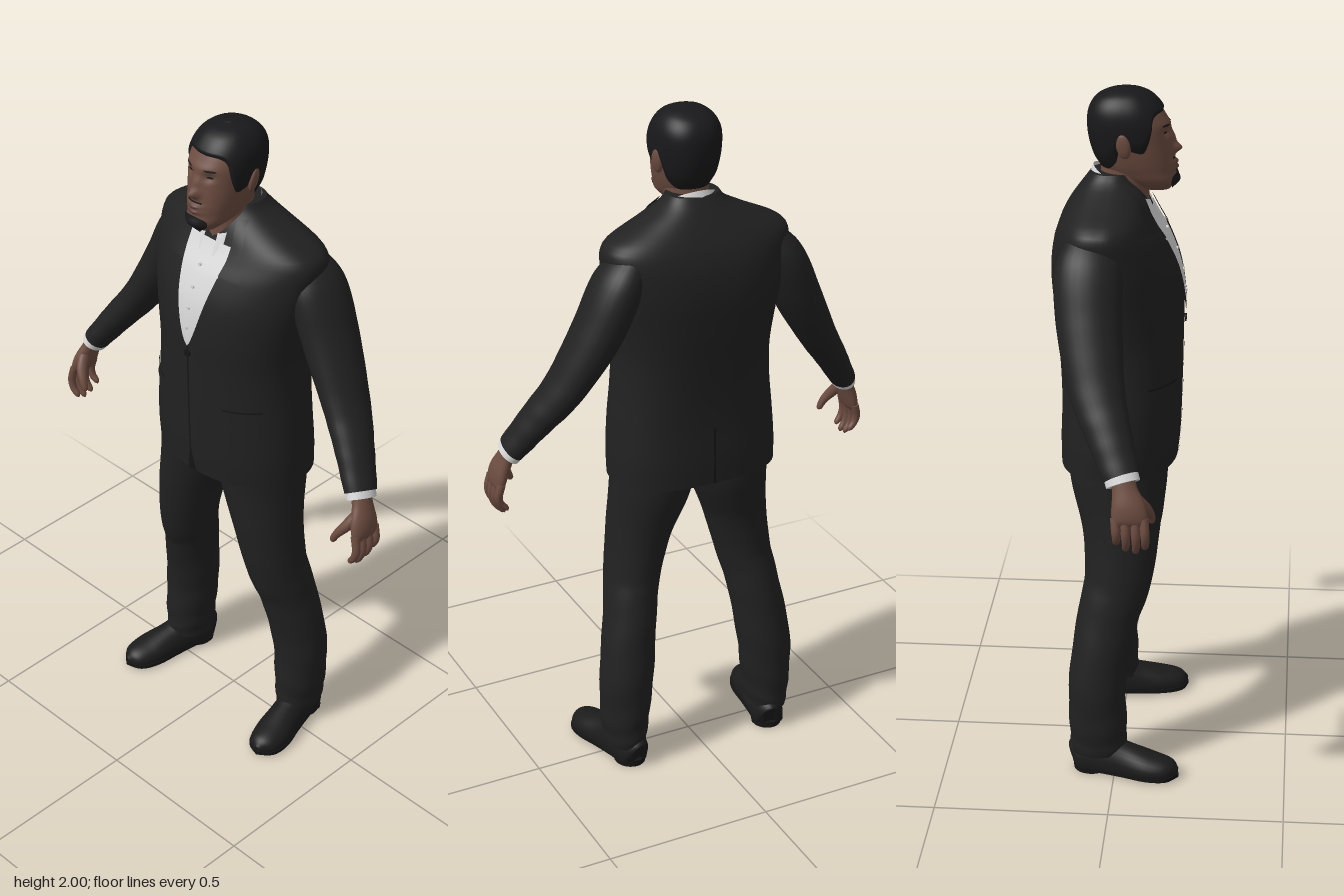
import * as THREE from 'three';

const mat = (name, color) => new THREE.MeshStandardMaterial({ name, color, side: THREE.DoubleSide });
const TAU = Math.PI * 2;
const gauss = (d, w) => Math.exp(-((d / w) ** 2));
const clamp = THREE.MathUtils.clamp;

// Smooth interpolation of table rows keyed on their first column
function key(rows, t) {
  const n = rows.length - 1;
  t = clamp(t, rows[0][0], rows[n][0]);
  let i = 0;
  while (i < n - 1 && t > rows[i + 1][0]) i++;
  const a = rows[i], b = rows[i + 1], p = rows[Math.max(i - 1, 0)], q = rows[Math.min(i + 2, n)];
  const h = b[0] - a[0], s = (t - a[0]) / h, s2 = s * s, s3 = s2 * s;
  return a.slice(1).map((av, j) => {
    const k = j + 1, ma = (b[k] - p[k]) / (b[0] - p[0]), mb = (q[k] - a[k]) / (q[0] - a[0]);
    return av * (2 * s3 - 3 * s2 + 1) + b[k] * (3 * s2 - 2 * s3) + h * (ma * (s3 - 2 * s2 + s) + mb * (s3 - s2));
  });
}

// Grid surface from f(u, v); closed surfaces wrap in u and get end caps
function surf(name, material, nu, nv, f, closed = false) {
  const pos = [], idx = [], cols = closed ? nu : nu + 1;
  for (let j = 0; j <= nv; j++) for (let i = 0; i < cols; i++) pos.push(...f(i / nu, j / nv));
  for (let j = 0; j < nv; j++) for (let i = 0; i < nu; i++) {
    const a = j * cols + i, b = j * cols + (i + 1) % cols;
    idx.push(a, b, b + cols, a, b + cols, a + cols);
  }
  if (closed) for (const v of [0, 1]) {
    const base = pos.length / 3, c = [0, 0, 0];
    for (let i = 0; i < nu; i++) {
      const p = f(i / nu, v);
      pos.push(...p);
      p.forEach((x, k) => { c[k] += x / nu; });
    }
    pos.push(...c);
    for (let i = 0; i < nu; i++) {
      const a = base + i, b = base + (i + 1) % nu;
      idx.push(...(v ? [a, b, base + nu] : [b, a, base + nu]));
    }
  }
  const g = new THREE.BufferGeometry();
  g.setAttribute('position', new THREE.Float32BufferAttribute(pos, 3));
  g.setIndex(idx);
  g.computeVertexNormals();
  const m = new THREE.Mesh(g, material);
  m.name = name;
  return m;
}

// Limb along rows [x, y, z, radiusA, radiusB]; radiusB lies along the "up" axis
function limb(name, material, rows, { up = [0, 0, 1], nu = 28, nv = 40, floor = -1, folds = 0 } = {}) {
  const keyed = rows.map((r, i) => [i / (rows.length - 1), ...r]);
  const at = t => new THREE.Vector3(...key(keyed, t).slice(0, 3));
  return surf(name, material, nu, nv, (u, v) => {
    const [x, y, z, ra, rb] = key(keyed, v), th = u * TAU;
    const T = at(Math.min(v + 0.01, 1)).sub(at(Math.max(v - 0.01, 0))).normalize();
    const B = new THREE.Vector3(...up);
    B.addScaledVector(T, -B.dot(T)).normalize();
    const A = T.clone().cross(B);
    const k = 1 + folds * v * v * Math.sin(v * 55 + 2 * Math.sin(th));
    const p = new THREE.Vector3(x, y, z).addScaledVector(A, ra * k * Math.sin(th)).addScaledVector(B, rb * k * Math.cos(th));
    return [p.x, Math.max(p.y, floor), p.z];
  }, true);
}

// Jacket body: y, half width, front z, back z
const TORSO = [[0.925, 0.25, 0.165, -0.167], [1, 0.25, 0.172, -0.168], [1.1, 0.243, 0.175, -0.165], [1.2, 0.232, 0.177, -0.168],
  [1.3, 0.228, 0.178, -0.176], [1.4, 0.24, 0.178, -0.186], [1.5, 0.26, 0.163, -0.192], [1.58, 0.273, 0.132, -0.184],
  [1.63, 0.278, 0.102, -0.168], [1.66, 0.258, 0.086, -0.152], [1.7, 0.172, 0.07, -0.127], [1.74, 0.095, 0.05, -0.1], [1.765, 0.075, 0.04, -0.082]];
// Head: y, half width, front z, back z
const HEAD = [[1.715, 0.03, 0.135, 0.06], [1.74, 0.055, 0.152, 0], [1.77, 0.067, 0.15, -0.045], [1.8, 0.075, 0.147, -0.063],
  [1.85, 0.083, 0.14, -0.08], [1.9, 0.087, 0.132, -0.086], [1.94, 0.082, 0.112, -0.08], [1.97, 0.064, 0.086, -0.058],
  [1.985, 0.04, 0.058, -0.026], [1.993, 0.004, 0.02, 0.01]];
const HAIRLINE = [[0, 1.935], [0.6, 1.933], [0.9, 1.915], [1.1, 1.865], [1.3, 1.832], [1.55, 1.835], [1.75, 1.85], [2, 1.805], [2.4, 1.78], [Math.PI, 1.77]];

const sup = (c, n) => Math.sign(c) * Math.abs(c) ** (2 / n);
function torsoPoint(th, y) {
  const [rx, zf, zb] = key(TORSO, y), s = Math.sin(th), c = Math.cos(th), n = c > 0 ? 2.05 : 2.7;
  const zc = (zf + zb) / 2;
  return [rx * sup(s, n), y, zc + (zf - zc) * sup(c, n)];
}
function headPoint(th, y, off = 0) {
  const [rx, zf, zb] = key(HEAD, y), s = Math.sin(th), c = Math.cos(th), zc = (zf + zb) / 2;
  const x = (rx + off) * sup(s, 2.25);
  let z = zc + (zf - zc + off) * sup(c, 2.25);
  if (c > 0) { // nose, brow, eye sockets and lips
    const e = Math.abs(x);
    z += 0.023 * gauss(x, 0.015) * (gauss(y - 1.83, 0.014) + 0.5 * gauss(y - 1.858, 0.024))
      + 0.004 * gauss(y - 1.902, 0.012) * gauss(x, 0.06) - 0.009 * gauss(e - 0.034, 0.016) * gauss(y - 1.88, 0.012)
      + 0.009 * gauss(x, 0.026) * (gauss(y - 1.793, 0.007) + gauss(y - 1.778, 0.007)) + 0.006 * gauss(x, 0.03) * gauss(y - 1.74, 0.015);
  }
  return [x, y, z];
}

export function createModel() {
  const suit = mat('suit cloth', 0x212122), seam = mat('dark seam', 0x151516), leather = mat('shoe leather', 0x1b1b1b);
  const shirt = mat('shirt white', 0xd6d6d6), skin = mat('skin', 0x6c4c40), lip = mat('lips', 0x5e3d37), hair = mat('hair', 0x19191b);
  const model = new THREE.Group();
  model.name = 'suitedMan';

  // Thin plate following the jacket front (side 1) or back (side -1)
  const plate = (name, m, y0, y1, xl, xr, off, side = 1) => surf(name, m, 8, 24, (u, v) => {
    const y = y0 + (y1 - y0) * v, [rx, zf, zb] = key(TORSO, y), x = xl(y) + (xr(y) - xl(y)) * (side > 0 ? u : 1 - u);
    const n = side > 0 ? 2.05 : 2.7, zc = (zf + zb) / 2;
    const k = (1 - Math.min(Math.abs(x / rx), 0.98) ** n) ** (1 / n);
    return [x, y, zc + side * ((zf - zb) / 2 * k + off)];
  });
  const opening = y => 0.076 * clamp((y - 1.36) / 0.27, 0, 1) ** 0.65;

  // Jacket, shirt front and closures
  model.add(surf('jacketBody', suit, 72, 70, (u, v) => torsoPoint(u * TAU, 0.925 + 0.84 * v), true));
  model.add(plate('shirtFront', shirt, 1.36, 1.665, y => -opening(y), opening, 0.004));
  model.add(plate('shirtPlacket', shirt, 1.385, 1.65, () => -0.011, () => 0.011, 0.007));
  model.add(plate('jacketFrontEdge', seam, 0.926, 1.36, y => -0.003 - 0.012 * clamp((1 - y) / 0.07, 0, 1), y => 0.003 + 0.012 * clamp((1 - y) / 0.07, 0, 1), 0.002));
  model.add(plate('backVent', seam, 0.926, 1.1, () => -0.003, () => 0.003, 0.002, -1));
  model.add(plate('backSeam', suit, 1.1, 1.68, () => -0.002, () => 0.002, 0.002, -1));
  const button = (name, m, y, r, off) => {
    const b = new THREE.Mesh(new THREE.CylinderGeometry(r, r, 0.006, 14), m);
    b.rotation.x = Math.PI / 2;
    b.position.set(0, y, key(TORSO, y)[1] + off);
    b.name = name;
    model.add(b);
  };
  button('jacketButton', seam, 1.335, 0.011, 0.004);
  for (const y of [1.42, 1.48, 1.54, 1.6]) button('shirtButton', shirt, y, 0.005, 0.008);

  // Shirt collar, open at the throat
  model.add(surf('shirtCollar', shirt, 48, 6, (u, v) => {
    const th = 0.28 + u * (TAU - 0.56), c = Math.cos(th), tip = Math.max(c, 0) ** 3;
    const w = 1 - v, y = 1.733 - 0.048 * c - w * (0.038 + 0.026 * tip);
    return [(0.076 + 0.012 * w) * Math.sin(th), y, 0.004 + c * (0.081 + 0.014 * w + 0.016 * w * tip)];
  }));

  // Neck and head
  model.add(limb('neck', skin, [[0, 1.82, 0.02, 0.062, 0.07], [0, 1.74, 0.01, 0.063, 0.069], [0, 1.68, 0.006, 0.067, 0.074], [0, 1.64, 0.008, 0.07, 0.08]]));
  const rise = (lo, v) => lo + (1.993 - lo) * Math.sin(v * Math.PI / 2);
  model.add(surf('head', skin, 96, 80, (u, v) => headPoint(u * TAU, rise(1.715, v)), true));
  model.add(surf('hair', hair, 96, 36, (u, v) => {
    const a = u < 0.5 ? u * TAU : (1 - u) * TAU, off = 0.008 * Math.min(1, v * 10);
    const p = headPoint(u * TAU, rise(key(HAIRLINE, a)[0], v), off);
    return [p[0], p[1] + off * v * 0.85, p[2]];
  }, true));
  const facePatch = (name, m, t0, t1, y0, y1, off, round = false) => surf(name, m, 20, 10, (u, v) => {
    const th = t0 + (t1 - t0) * u, k = round ? Math.sqrt(Math.max(0, 1 - (2 * u - 1) ** 2)) : 1;
    return headPoint(th, (y0 + y1) / 2 + (y1 - y0) * (v - 0.5) * k, off);
  });
  model.add(facePatch('goatee', hair, -0.7, 0.7, 1.716, 1.766, 0.006, true));
  model.add(facePatch('moustache', hair, -0.28, 0.28, 1.803, 1.808, 0.002));
  model.add(facePatch('upperLip', lip, -0.24, 0.24, 1.787, 1.798, 0.0015, true));
  model.add(facePatch('lowerLip', lip, -0.22, 0.22, 1.773, 1.785, 0.0015, true));

  for (const s of [1, -1]) {
    const side = new THREE.Group();
    side.name = s > 0 ? 'leftSide' : 'rightSide';
    side.scale.x = s;
    model.add(side);

    // Brow, eye and ear
    side.add(facePatch('eyebrow', hair, 0.2, 0.62, 1.898, 1.904, 0.002, true));
    side.add(facePatch('eye', seam, 0.26, 0.5, 1.877, 1.883, 0.0015, true));
    const ear = new THREE.Mesh(new THREE.SphereGeometry(1, 18, 14), skin);
    ear.name = 'ear';
    ear.scale.set(0.01, 0.036, 0.021);
    ear.position.set(0.088, 1.852, 0.012);
    ear.rotation.set(-0.15, 0.3, -0.1);
    side.add(ear);

    // Lapel with notch, and pockets
    side.add(plate('lapel', suit, 1.36, 1.585, opening, y => opening(y) + 0.085 * ((y - 1.36) / 0.225) ** 0.8, 0.007));
    side.add(plate('jacketCollar', suit, 1.592, 1.735, y => opening(y) - 0.012 * clamp((y - 1.68) / 0.05, 0, 1), y => opening(y) + 0.068 - 0.4 * (y - 1.592), 0.009));
    side.add(plate('pocketFlap', suit, 1.15, 1.185, () => 0.115, () => 0.205, 0.005));
    side.add(plate('pocketSeam', seam, 1.184, 1.189, () => 0.113, () => 0.207, 0.0055));
    if (s > 0) side.add(plate('breastPocket', suit, 1.495, 1.515, () => 0.155, () => 0.215, 0.005));

    // Sleeve and shirt cuff
    side.add(limb('sleeve', suit, [[0.21, 1.615, -0.065, 0.045, 0.07], [0.255, 1.54, -0.07, 0.066, 0.093], [0.315, 1.41, -0.062, 0.066, 0.09],
      [0.4, 1.26, -0.035, 0.053, 0.076], [0.47, 1.16, 0.003, 0.045, 0.062], [0.533, 1.066, 0.042, 0.037, 0.051]], { nv: 50, folds: 0.012 }));
    side.add(limb('shirtCuff', shirt, [[0.527, 1.075, 0.038, 0.034, 0.048], [0.541, 1.05, 0.047, 0.034, 0.047]], { nv: 3 }));

    // Hand
    side.add(limb('palm', skin, [[0.536, 1.065, 0.045, 0.024, 0.032], [0.55, 1.035, 0.052, 0.022, 0.035], [0.565, 0.995, 0.062, 0.023, 0.046],
      [0.574, 0.96, 0.067, 0.018, 0.048], [0.577, 0.94, 0.068, 0.006, 0.04]], { nv: 20 }));
    [[0.027, 0.88], [0.053, 0.862], [0.08, 0.856], [0.105, 0.868]].forEach(([z, tip], i) => {
      const d = 0.955 - tip;
      side.add(limb('finger' + (i + 1), skin, [[0.574, 0.965, z, 0.012, 0.013], [0.583, 0.955 - d * 0.35, z + 0.003, 0.012, 0.0125],
        [0.577, 0.955 - d * 0.68, z + 0.004, 0.0105, 0.011], [0.562, tip + 0.008, z + 0.002, 0.0085, 0.009], [0.557, tip, z + 0.001, 0.002, 0.002]], { nu: 12, nv: 14 }));
    });
    side.add(limb('thumb', skin, [[0.556, 1.02, 0.075, 0.016, 0.018], [0.54, 0.985, 0.103, 0.016, 0.017], [0.52, 0.955, 0.118, 0.012, 0.013],
      [0.508, 0.93, 0.122, 0.009, 0.009], [0.505, 0.923, 0.122, 0.002, 0.002]], { nu: 12, nv: 14 }));

    // Trouser leg with a front crease
    side.add(limb('trouserLeg', suit, [[0.115, 1, 0, 0.118, 0.138], [0.122, 0.9, 0, 0.117, 0.136], [0.155, 0.75, 0.012, 0.094, 0.112],
      [0.183, 0.6, 0.005, 0.081, 0.097], [0.205, 0.48, -0.024, 0.077, 0.088], [0.23, 0.3, -0.051, 0.08, 0.083],
      [0.238, 0.15, -0.049, 0.07, 0.084], [0.238, 0.065, -0.046, 0.06, 0.08]], { nu: 36, nv: 80, folds: 0.022 }));

    // Shoe: upper, sole and heel block
    const shoe = new THREE.Group();
    shoe.name = 'shoe';
    shoe.position.set(0.238, 0, -0.05);
    shoe.rotation.y = 0.2;
    shoe.add(limb('shoeUpper', leather, [[0, 0.03, -0.07, 0.024, 0.045], [0, 0.035, -0.05, 0.045, 0.065], [0, 0.035, 0.02, 0.05, 0.08],
      [0, 0.032, 0.09, 0.052, 0.062], [0.002, 0.028, 0.16, 0.056, 0.046], [0, 0.025, 0.215, 0.043, 0.034], [0, 0.022, 0.241, 0.012, 0.015]],
    { up: [0, 1, 0], floor: 0.014 }));
    const outline = new THREE.Shape();
    outline.setFromPoints(new THREE.SplineCurve([[0, -0.246], [0.045, -0.218], [0.059, -0.16], [0.05, -0.08], [0.044, 0], [0.047, 0.045], [0, 0.074],
      [-0.047, 0.045], [-0.044, 0], [-0.05, -0.08], [-0.057, -0.16], [-0.043, -0.218], [0, -0.246]].map(p => new THREE.Vector2(...p))).getPoints(60));
    const sole = new THREE.Mesh(new THREE.ExtrudeGeometry(outline, { depth: 0.012, bevelEnabled: false }), seam);
    sole.name = 'sole';
    sole.rotation.x = -Math.PI / 2;
    sole.position.y = 0.008;
    const heel = new THREE.Mesh(new THREE.CylinderGeometry(0.045, 0.045, 0.016, 28), seam);
    heel.name = 'heel';
    heel.scale.z = 1.1;
    heel.position.set(0, 0.008, -0.022);
    shoe.add(sole, heel);
    side.add(shoe);
  }
  return model;
}
